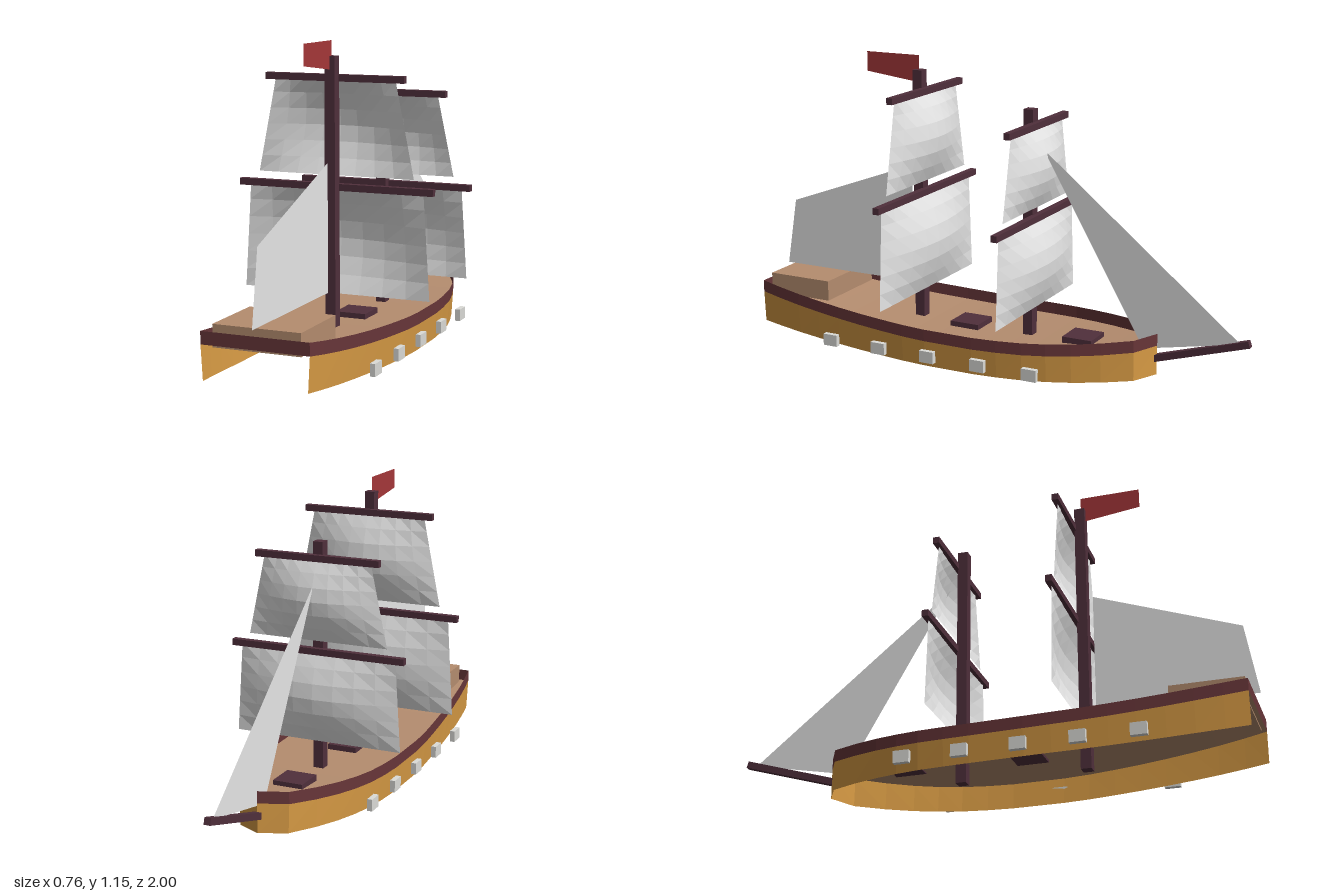
import * as THREE from 'three';

const mat = (name, color, side = THREE.FrontSide) => {
  const m = new THREE.MeshStandardMaterial({ color, side });
  m.name = name;
  return m;
};

// Faceted sheet from a rule f(i, j) -> [x, y, z]
function sheet(nu, nv, f) {
  const pos = [], idx = [];
  for (let j = 0; j <= nv; j++) for (let i = 0; i <= nu; i++) pos.push(...f(i, j));
  for (let j = 0; j < nv; j++) for (let i = 0; i < nu; i++) {
    const a = j * (nu + 1) + i, b = a + 1, c = a + nu + 1, d = c + 1;
    idx.push(a, b, d, a, d, c);
  }
  const g = new THREE.BufferGeometry();
  g.setAttribute('position', new THREE.Float32BufferAttribute(pos, 3));
  g.setIndex(idx);
  const flat = g.toNonIndexed();
  flat.computeVertexNormals();
  return flat;
}

// Flat panel on the centre plane, from [z, y] corners
function centrePanel(points) {
  const g = new THREE.ShapeGeometry(new THREE.Shape(points.map(([z, y]) => new THREE.Vector2(-z, y))));
  return g.rotateY(Math.PI / 2);
}

export function createModel() {
  const ship = new THREE.Group();
  ship.name = 'sailingShip';
  const D = THREE.DoubleSide;
  const hullMat = mat('ochre hull', 0xd99c45, D);
  const railMat = mat('maroon rail', 0x683639, D);
  const deckMat = mat('tan deck', 0xb58d6f, D);
  const sparMat = mat('dark spar wood', 0x50303c);
  const sailMat = mat('sailcloth', 0xe9e9e9, D);
  const portMat = mat('pale gunport', 0xdcdcd8);
  const flagMat = mat('red flag', 0xa53739, D);

  const add = (name, geo, m, parent = ship) => {
    const mesh = new THREE.Mesh(geo, m);
    mesh.name = name;
    parent.add(mesh);
    return mesh;
  };
  const box = (name, m, w, h, d, x, y, z, parent) => {
    const b = add(name, new THREE.BoxGeometry(w, h, d), m, parent);
    b.position.set(x, y, z);
    return b;
  };

  // Hull stations: [z, half width], bow to stern
  const st = [[-0.64, 0], [-0.587, 0.1], [-0.48, 0.158], [-0.38, 0.2], [-0.29, 0.228], [-0.2, 0.248],
    [-0.1, 0.26], [0, 0.267], [0.2, 0.27], [0.3, 0.267], [0.4, 0.26], [0.5, 0.253], [0.6, 0.245],
    [0.7, 0.236], [0.8, 0.226], [0.9, 0.213], [0.985, 0.2]];
  const n = st.length - 1;
  const deckY = (z) => 0.1 + 0.077 * (z - 0.033) ** 2;
  const keelY = (z) => 0.05 * (z - 0.033) ** 2;
  const RAIL = 0.046;

  // Planking and rails, open below and at the lower stern
  for (const s of [1, -1]) {
    const side = s > 0 ? 'left' : 'right';
    add(side + 'HullSide', sheet(n, 1, (i, j) => {
      const [z, w] = st[s > 0 ? n - i : i];
      return [s * w * (j ? 1 : 0.965), j ? deckY(z) : keelY(z), z];
    }), hullMat);
    add(side + 'Rail', sheet(n, 1, (i, j) => {
      const [z, w] = st[s > 0 ? n - i : i];
      return [s * w, deckY(z) + j * RAIL, z];
    }), railMat);
    // Gunports
    for (let k = 0; k < 5; k++) {
      box(side + 'Gunport', portMat, 0.02, 0.046, 0.06, s * 0.276, 0.045, 0.615 - k * 0.216);
    }
  }
  add('sternRail', sheet(1, 1, (i, j) => [i ? 0.2 : -0.2, deckY(0.985) + j * RAIL, 0.985]), railMat);
  add('deck', sheet(1, n, (i, j) => [(i ? 1 : -1) * st[n - j][1], deckY(st[n - j][0]), st[n - j][0]]), deckMat);

  // Deck furniture
  box('sternCabin', deckMat, 0.325, 0.08, 0.27, 0, 0.2, 0.835);
  box('midHatch', sparMat, 0.12, 0.03, 0.12, 0, 0.107, 0.14);
  box('foreHatch', sparMat, 0.12, 0.03, 0.12, 0, 0.117, -0.34);

  // Billowing square sail: half widths and heights at foot and head
  const squareSail = (z, wFoot, wHead, yFoot, yHead, belly) => sheet(8, 6, (i, j) => {
    const u = i / 4 - 1, v = j / 6;
    const x = u * (wFoot + (wHead - wFoot) * v);
    return [x, yFoot + (yHead - yFoot) * v, z - belly * Math.sin(Math.PI * v) * Math.cos(u * Math.PI / 2)];
  });

  // Masts, each with two yards and two square sails
  const masts = [
    { name: 'mainMast', z: 0.361, top: 1.092, belly: 0.055, sails: [
      { y: 0.618, yard: 0.38, foot: [0.365, 0.225], head: 0.34 },
      { y: 1.012, yard: 0.27, foot: [0.304, 0.66], head: 0.233 }] },
    { name: 'foreMast', z: -0.115, top: 0.98, belly: 0.05, sails: [
      { y: 0.565, yard: 0.352, foot: [0.338, 0.213], head: 0.315 },
      { y: 0.92, yard: 0.25, foot: [0.282, 0.605], head: 0.215 }] }];
  for (const m of masts) {
    const g = new THREE.Group();
    g.name = m.name;
    ship.add(g);
    box('pole', sparMat, 0.04, m.top - 0.022, 0.04, 0, (m.top + 0.022) / 2, m.z, g);
    for (const s of m.sails) {
      box('yard', sparMat, s.yard * 2, 0.025, 0.025, 0, s.y, m.z - 0.027, g);
      add('squareSail', squareSail(m.z - 0.027, s.foot[0], s.head, s.foot[1], s.y, m.belly), sailMat, g);
    }
  }

  // Bowsprit
  const a = new THREE.Vector2(-0.995, 0.197), b = new THREE.Vector2(-0.63, 0.086);
  const sprit = box('bowsprit', sparMat, 0.025, 0.026, a.distanceTo(b), 0, (a.y + b.y) / 2, (a.x + b.x) / 2);
  sprit.rotation.x = Math.atan2(a.y - b.y, b.x - a.x);

  // Fore-and-aft sails and flag
  add('jib', centrePanel([[-0.17, 0.83], [-0.96, 0.19], [-0.585, 0.115]]), sailMat);
  add('spanker', centrePanel([[0.4, 0.713], [0.955, 0.51], [1, 0.24], [0.4, 0.24]]), sailMat);
  add('flag', centrePanel([[0.363, 1.147], [0.595, 1.147], [0.595, 1.07], [0.363, 1.042]]), flagMat);

  return ship;
}
